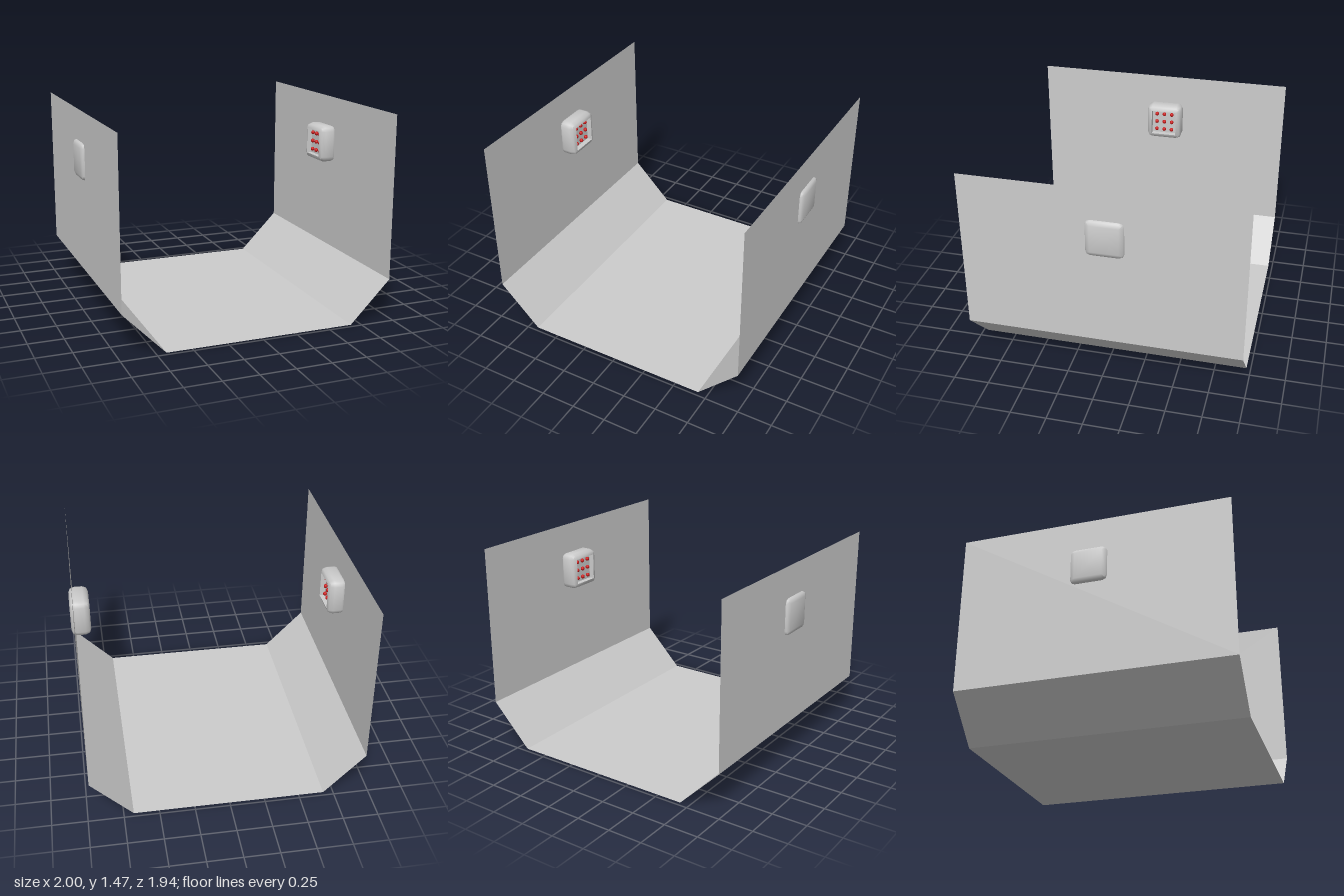
import * as THREE from 'three';
import { toCreasedNormals } from 'three/addons/utils/BufferGeometryUtils.js';

const grey = new THREE.MeshStandardMaterial({ color: 0xcccccc });
const sheetGrey = new THREE.MeshStandardMaterial({ color: 0xcccccc, side: THREE.DoubleSide });
const red = new THREE.MeshStandardMaterial({ color: 0xcc1a1a });

// Joins a grid of points (rows of equal length) with quads
function skin(rows) {
  const pos = [];
  for (let i = 0; i + 1 < rows.length; i++) {
    for (let j = 0; j + 1 < rows[i].length; j++) {
      const a = rows[i][j], b = rows[i + 1][j], c = rows[i + 1][j + 1], d = rows[i][j + 1];
      pos.push(...a, ...b, ...d, ...b, ...c, ...d);
    }
  }
  const geometry = new THREE.BufferGeometry();
  geometry.setAttribute('position', new THREE.Float32BufferAttribute(pos, 3));
  geometry.computeVertexNormals();
  return geometry;
}

function addMesh(parent, name, geometry, material) {
  const mesh = new THREE.Mesh(geometry, material);
  mesh.name = name;
  parent.add(mesh);
  return mesh;
}

// Rounded square outline across the x axis
function squareRing(x, half, radius) {
  const ring = [], steps = 2;
  for (let corner = 0; corner < 4; corner++) {
    const turn = corner * Math.PI / 2 + Math.PI / 4;
    const reach = (half - radius) * Math.SQRT2;
    for (let k = 0; k <= steps; k++) {
      const a = corner * Math.PI / 2 + (k / steps) * Math.PI / 2;
      ring.push([x,
        reach * Math.cos(turn) + radius * Math.cos(a),
        reach * Math.sin(turn) + radius * Math.sin(a)]);
    }
  }
  ring.push(ring[0]);
  return ring;
}

// Rounded housing whose -x face is recessed
function housingGeometry() {
  const depth = 0.07, half = 0.1375, R = 0.04, steps = 2;
  const rows = [squareRing(depth, 0, 0)];
  for (const side of [1, -1]) {
    for (let k = 0; k <= steps; k++) {
      const a = ((side > 0 ? k : steps - k) / steps) * Math.PI / 2;
      rows.push(squareRing(
        side * (depth - R + R * Math.cos(a)),
        half - R + R * Math.sin(a),
        R * Math.sin(a)));
    }
  }
  // recess walls and floor
  rows.push(squareRing(-0.03, half - R, 0), squareRing(-0.03, 0, 0));
  return toCreasedNormals(skin(rows), 0.9);
}

function createLamp(name) {
  const lamp = new THREE.Group();
  lamp.name = name;
  addMesh(lamp, 'housing', housingGeometry(), grey);
  // 3 x 3 grid of small red bulbs in the recess
  const bulb = new THREE.SphereGeometry(0.015, 12, 8);
  for (let row = -1; row <= 1; row++) {
    for (let col = -1; col <= 1; col++) {
      addMesh(lamp, 'bulb', bulb, red).position.set(-0.04, row * 0.065, col * 0.06);
    }
  }
  return lamp;
}

export function createModel() {
  const model = new THREE.Group();
  model.name = 'trough';

  // Thin folded sheet: wall, slope, floor, slope, wall
  const profile = [[-0.975, 1.47], [-0.975, 0.3], [-0.68, 0], [0.68, 0], [0.975, 0.3], [0.975, 1.47]];
  const names = ['rightWall', 'rightSlope', 'floor', 'leftSlope', 'leftWall'];
  names.forEach((name, i) => {
    const edges = [profile[i], profile[i + 1]].map(([x, y]) => [[x, y, 0.97], [x, y, -0.97]]);
    addMesh(model, name, skin(edges), sheetGrey);
  });

  // A lamp through each wall, opening inward
  for (const side of [1, -1]) {
    const lamp = createLamp(side > 0 ? 'leftLamp' : 'rightLamp');
    lamp.position.set(side * 0.93, 1.113, -0.028);
    if (side < 0) lamp.rotation.y = Math.PI;
    model.add(lamp);
  }
  return model;
}
